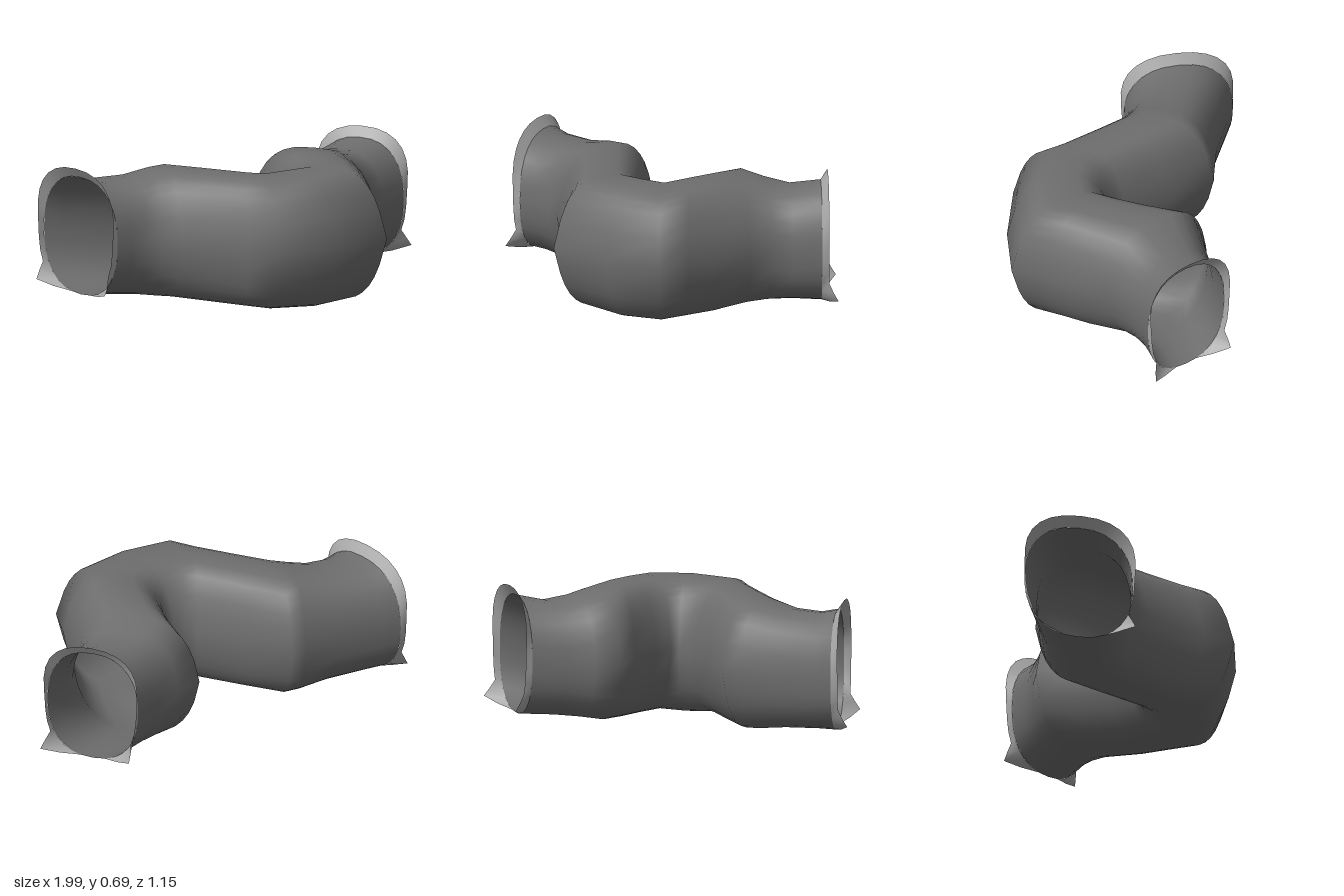
import * as THREE from 'three';

const SIDES = 28;

// One cross-section of the sleeve: back edge (x, z), front edge (x, z),
// bottom and top height, roundness power, inward lean of the sides
const SECTIONS = [
  [-0.93, -0.44, -0.79, 0.09, 0.05, 0.64, 0.85, 0],
  [-0.84, -0.425, -0.70, 0.08, 0.05, 0.62, 0.82, 0.03],
  [-0.60, -0.39, -0.62, 0.08, 0.04, 0.625, 0.75, 0.1],
  [-0.42, -0.395, -0.55, 0.11, 0.025, 0.65, 0.68, 0.18],
  [-0.34, -0.40, -0.48, 0.17, 0.02, 0.66, 0.65, 0.22],
  [-0.19, -0.21, -0.38, 0.28, 0.015, 0.66, 0.62, 0.25],
  [-0.03, 0.0, -0.25, 0.43, 0.01, 0.66, 0.6, 0.27],
  [0.02, 0.02, -0.16, 0.575, 0.01, 0.66, 0.58, 0.28],
  [0.07, 0.045, 0.18, 0.575, 0.0, 0.67, 0.58, 0.28],
  [0.10, 0.02, 0.475, 0.525, 0.01, 0.665, 0.58, 0.28],
  [0.14, -0.08, 0.53, 0.36, 0.01, 0.67, 0.6, 0.27],
  [0.18, -0.25, 0.58, 0.24, 0.01, 0.67, 0.63, 0.24],
  [0.19, -0.41, 0.65, 0.04, 0.02, 0.66, 0.68, 0.18],
  [0.32, -0.43, 0.71, -0.06, 0.035, 0.63, 0.75, 0.1],
  [0.46, -0.47, 0.79, -0.13, 0.045, 0.61, 0.82, 0.03],
  [0.61, -0.54, 0.925, -0.19, 0.05, 0.64, 0.85, 0],
];

const power = (v, p) => Math.sign(v) * Math.abs(v) ** p;

// Point on the rounded outline of a section
function outline([bx, bz, fx, fz, y0, y1, p, lean], angle) {
  const v = power(Math.sin(angle), p);
  const u = power(Math.cos(angle), p) * (1 - lean * Math.abs(v)) / 2;
  return new THREE.Vector3(
    (bx + fx) / 2 + (fx - bx) * u,
    (y0 + y1) / 2 + (y1 - y0) * v / 2,
    (bz + fz) / 2 + (fz - bz) * u,
  );
}

// Smooth skin through rows of points
function skin(rows, closed) {
  const n = rows[0].length;
  const index = [];
  for (let i = 0; i < rows.length - 1; i++) {
    for (let j = 0; j < (closed ? n : n - 1); j++) {
      const k = (j + 1) % n;
      const a = i * n + j, b = a + n, c = i * n + k, d = c + n;
      index.push(a, b, d, a, d, c);
    }
  }
  const geometry = new THREE.BufferGeometry().setFromPoints(rows.flat());
  geometry.setIndex(index);
  geometry.computeVertexNormals();
  return geometry;
}

// Flared lip around the top and sides of a mouth, with a pointed corner low on each side
function lipGeometry(section, outward) {
  const [bx, bz, fx, fz] = section;
  const across = new THREE.Vector3(fx - bx, 0, fz - bz).normalize();
  const axis = new THREE.Vector3(across.z, 0, -across.x).multiplyScalar(outward);
  const inner = [], outer = [];
  const steps = 28;
  for (let j = 0; j <= steps; j++) {
    const degrees = -78 + 12 * j;
    const angle = THREE.MathUtils.degToRad(degrees);
    const c = Math.cos(angle), s = Math.sin(angle);
    const fromCorner = Math.abs(degrees - 90) - 144; // positive below the corner
    const fade = 1 - Math.max(0, fromCorner) / 24;
    const corner = Math.max(0, 1 - Math.abs(fromCorner) / 24);
    const up = Math.max(0, s);
    const rim = outline(section, angle);
    inner.push(rim);
    outer.push(rim.clone()
      .addScaledVector(axis, 0.035 * fade + 0.045 * corner)
      .addScaledVector(across, Math.sign(c) * (0.08 * corner + 0.06 * up * Math.abs(c)) + 0.015 * corner)
      .add(new THREE.Vector3(0, 0.05 * up ** 0.6, 0)));
  }
  return skin(outward > 0 ? [inner, outer] : [outer, inner], false);
}

export function createModel() {
  const group = new THREE.Group();
  group.name = 'bentSleeve';

  const bodyGrey = new THREE.MeshStandardMaterial({ color: 0x6e6e6e, side: THREE.DoubleSide });
  bodyGrey.name = 'dark grey';
  const lipGrey = new THREE.MeshStandardMaterial({ color: 0xa8a8a8, side: THREE.DoubleSide });
  lipGrey.name = 'light grey';

  const add = (geometry, material, name) => {
    const mesh = new THREE.Mesh(geometry, material);
    mesh.name = name;
    group.add(mesh);
  };

  // Bent hollow tube, open at both ends
  const rings = SECTIONS.map((s) =>
    Array.from({ length: SIDES }, (_, j) => outline(s, (j / SIDES) * Math.PI * 2)));
  add(skin(rings, true), bodyGrey, 'tubeBody');

  // Flared lips
  add(lipGeometry(SECTIONS[0], -1), lipGrey, 'rightLip');
  add(lipGeometry(SECTIONS[SECTIONS.length - 1], 1), lipGrey, 'leftLip');

  return group;
}
